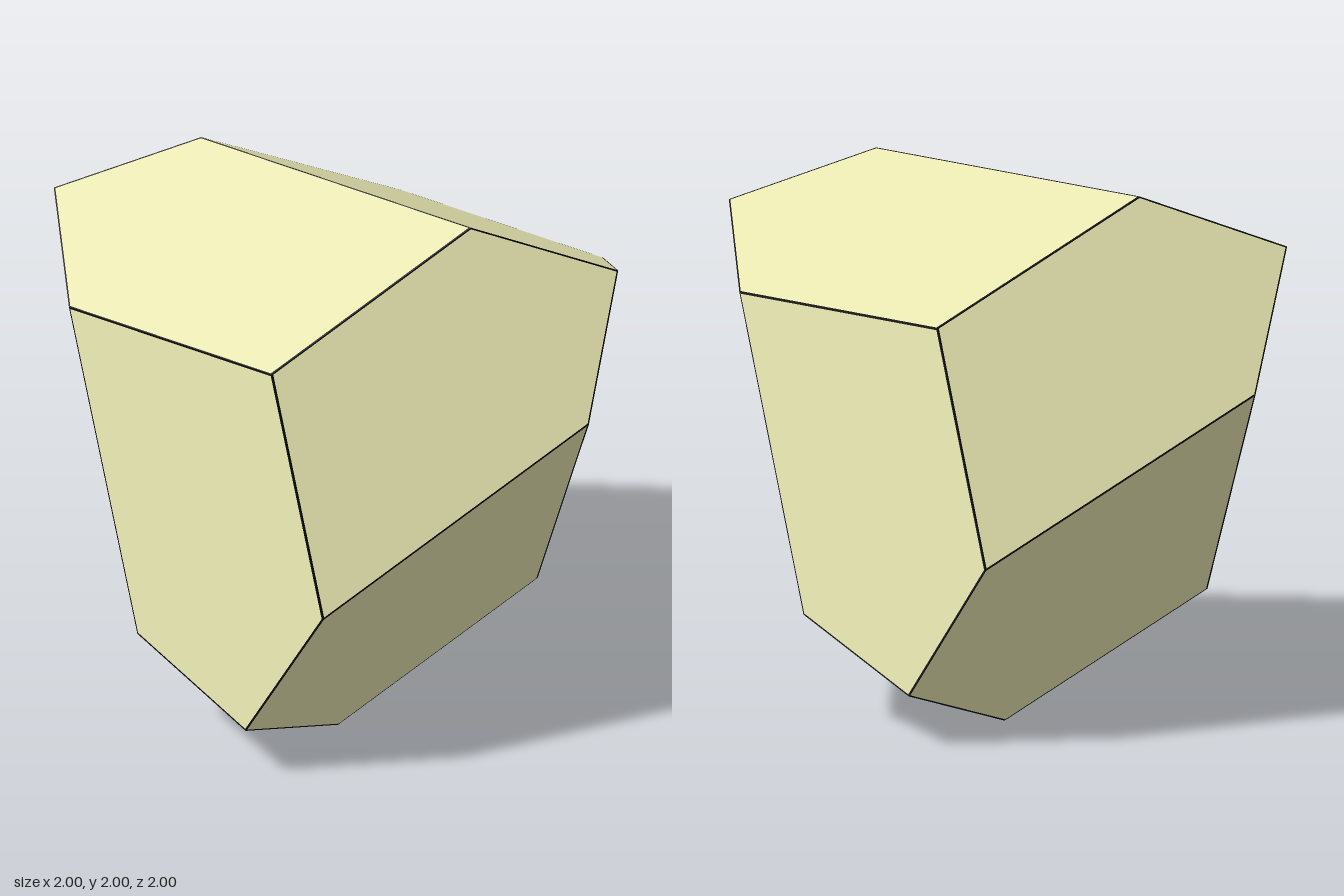
import * as THREE from 'three';

// Twisted twelve-sided solid: one pentagon repeated by the 12 rotations of a tetrahedron
export function createModel() {
  const group = new THREE.Group();
  group.name = 'polyhedron';
  const paleKhaki = new THREE.MeshStandardMaterial({ color: 0xe7e6b0 });
  paleKhaki.name = 'paleKhaki';
  const black = new THREE.MeshStandardMaterial({ color: 0x000000 });
  black.name = 'black';

  // Front pentagon, counter-clockwise from outside
  const a = 4 / 7, b = 2 / 7, c = 0.8;
  const pentagon = [[-a, a, a], [-a, -b, 1], [a, b, 1], [c, c, c], [b, 1, a]];
  const halfTurns = [[1, 1, 1], [1, -1, -1], [-1, 1, -1], [-1, -1, 1]];
  const inset = 0.01; // share of each face taken by its dark border

  const panels = [], borders = [];
  for (const signs of halfTurns) {
    for (let turn = 0; turn < 3; turn++) {
      // Flip two axes, then cycle the axes: a proper rotation keeps the winding
      const outer = pentagon.map((p) => [0, 1, 2].map((i) => {
        const k = (i + turn) % 3;
        return p[k] * signs[k];
      }));
      const centre = [0, 1, 2].map((i) => outer.reduce((sum, p) => sum + p[i], 0) / 5);
      const inner = outer.map((p) => p.map((v, i) => v + (centre[i] - v) * inset));

      for (let i = 0; i < 5; i++) {
        const j = (i + 1) % 5;
        panels.push(...centre, ...inner[i], ...inner[j]);
        borders.push(...outer[i], ...outer[j], ...inner[j], ...outer[i], ...inner[j], ...inner[i]);
      }
    }
  }

  const addPart = (name, positions, material) => {
    const geometry = new THREE.BufferGeometry();
    geometry.setAttribute('position', new THREE.Float32BufferAttribute(positions, 3));
    geometry.computeVertexNormals();
    geometry.translate(0, 1, 0);
    const mesh = new THREE.Mesh(geometry, material);
    mesh.name = name;
    group.add(mesh);
  };

  addPart('facePanels', panels, paleKhaki);
  addPart('edgeLines', borders, black);
  return group;
}
